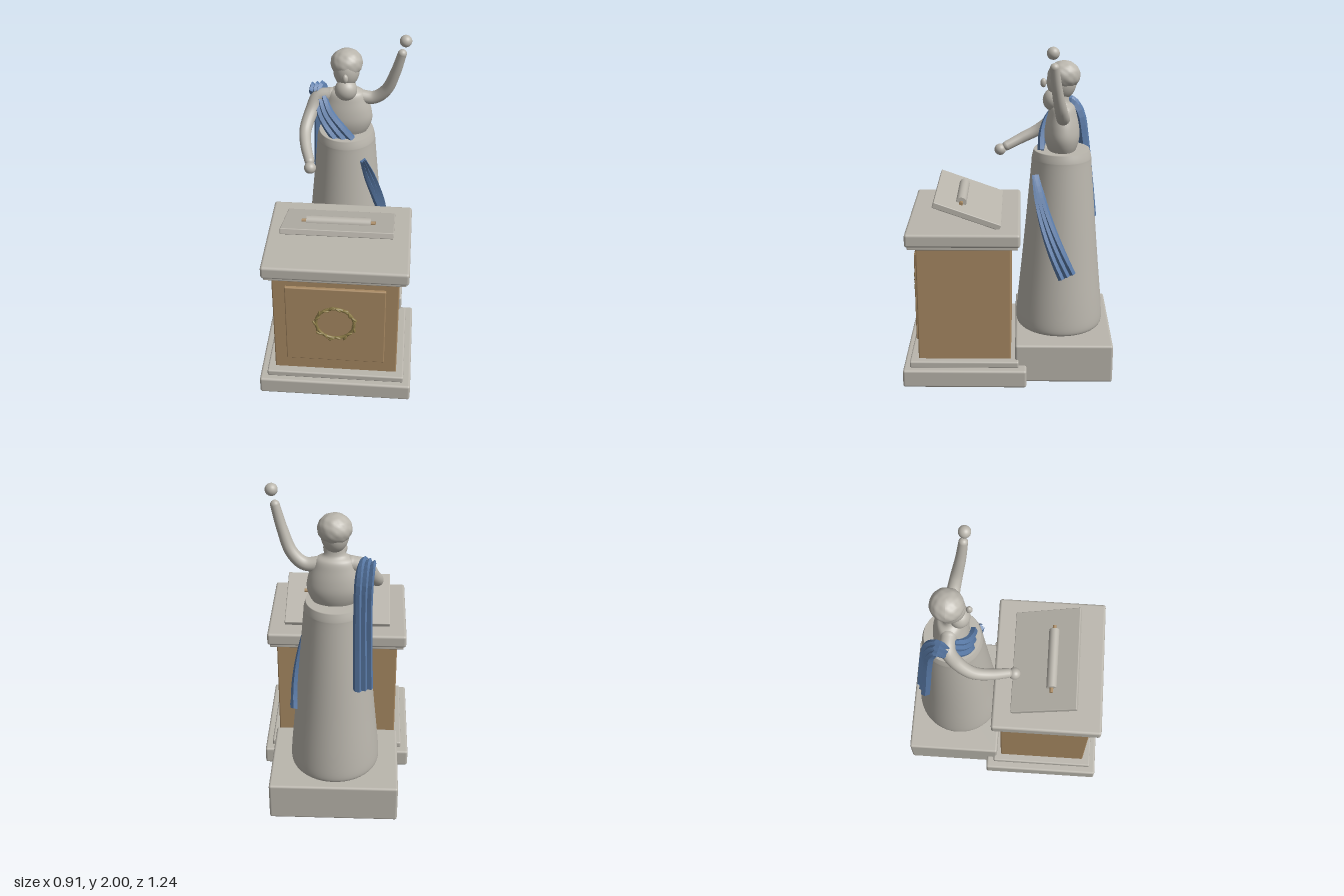
import * as THREE from 'three';
import { RoundedBoxGeometry } from 'three/addons/geometries/RoundedBoxGeometry.js';

const V = (a) => new THREE.Vector3(...a);

export function createModel() {
  const model = new THREE.Group();
  model.name = 'statueAtLectern';
  const material = (name, color, extra = {}) => {
    const m = new THREE.MeshStandardMaterial({ color, ...extra });
    m.name = name;
    return m;
  };
  const stone = material('stone', 0xbab6ad);
  const wood = material('wood', 0xa98a63);
  const bronze = material('bronze', 0x8c7c48);
  const cloth = material('blueCloth', 0x5a7ba8, { flatShading: true, side: THREE.DoubleSide });

  const add = (name, geometry, mat, pos = [0, 0, 0], parent = model) => {
    const mesh = new THREE.Mesh(geometry, mat);
    mesh.name = name;
    mesh.position.set(...pos);
    parent.add(mesh);
    return mesh;
  };
  // Rounded slab given by half width, y range and z range
  const slab = (name, hx, y0, y1, z0, z1, mat, r = 0.01) =>
    add(name, new RoundedBoxGeometry(hx * 2, y1 - y0, z1 - z0, 2, r), mat, [0, (y0 + y1) / 2, (z0 + z1) / 2]);
  const ball = (name, pos, r, mat = stone) => {
    const m = add(name, new THREE.SphereGeometry(1, 28, 20), mat, pos);
    m.scale.set(...r);
    return m;
  };
  // Smooth turned body from a short profile
  const turned = (name, profile, pos, depth = 1) => {
    const curve = new THREE.SplineCurve(profile.map((p) => new THREE.Vector2(...p)));
    const pts = [new THREE.Vector2(0, profile[0][1]), ...curve.getPoints(36), new THREE.Vector2(0, profile.at(-1)[1])];
    const m = add(name, new THREE.LatheGeometry(pts, 48), stone, pos);
    m.scale.z = depth;
    return m;
  };

  // Pedestal
  slab('pedestalBase', 0.456, 0, 0.11, -0.11, 0.62, stone, 0.014);
  slab('pedestalStep', 0.412, 0.105, 0.147, -0.063, 0.582, stone);
  slab('pedestalBody', 0.367, 0.14, 0.865, -0.017, 0.532, wood, 0.008);
  slab('frontPanel', 0.292, 0.235, 0.785, 0.52, 0.55, wood, 0.006);
  slab('corniceMoulding', 0.405, 0.853, 0.885, -0.057, 0.576, stone, 0.006);
  slab('corniceSlab', 0.42, 0.872, 0.952, -0.07, 0.59, stone, 0.016);

  // Wreath with overlapping leaves
  const wreath = new THREE.Group();
  wreath.name = 'wreath';
  wreath.position.set(0, 0.54, 0.56);
  model.add(wreath);
  add('wreathRing', new THREE.TorusGeometry(0.112, 0.009, 10, 48), bronze, [0, 0, 0], wreath);
  const leaf = new THREE.SphereGeometry(1, 10, 8);
  const leafCount = 18;
  for (let i = 0; i < leafCount; i++) {
    const a = (i / leafCount) * Math.PI * 2;
    const r = 0.114 + (i % 2 ? 0.006 : -0.004);
    const m = add('wreathLeaf', leaf, bronze, [Math.cos(a) * r, Math.sin(a) * r, 0.006], wreath);
    m.scale.set(0.022, 0.007, 0.008);
    m.rotation.z = a + Math.PI / 2 + (i % 2 ? 0.5 : -0.5);
  }

  // Tilted reading board and scroll
  const board = add('readingBoard', new RoundedBoxGeometry(0.642, 0.036, 0.41, 2, 0.005), stone, [0, 1.028, 0.238]);
  board.rotation.x = -0.345;
  const rod = (name, r, length, mat) => {
    const m = add(name, new THREE.CylinderGeometry(r, r, length, 24), mat, [0, 1.066, 0.275]);
    m.rotation.z = Math.PI / 2;
  };
  rod('scroll', 0.031, 0.37, stone);
  rod('scrollRod', 0.011, 0.426, wood);

  // Statue plinth, skirt and torso
  slab('statuePlinth', 0.382, 0, 0.24, -0.622, -0.042, stone, 0.014);
  turned('skirt', [[0.25, 0.235], [0.264, 0.265], [0.258, 0.38], [0.232, 0.65], [0.205, 0.95],
    [0.179, 1.25], [0.175, 1.3], [0.163, 1.345]], [0, 0, -0.312]);
  turned('torso', [[0.11, 1.32], [0.142, 1.375], [0.156, 1.43], [0.148, 1.49], [0.128, 1.55],
    [0.105, 1.6], [0.06, 1.63], [0.05, 1.7]], [0, 0, -0.312], 0.66);

  // Head with curled hair, beard and nose
  ball('face', [0, 1.745, -0.305], [0.078, 0.105, 0.087]);
  const hairGeo = new THREE.SphereGeometry(1, 40, 28);
  const hp = hairGeo.attributes.position;
  for (let i = 0; i < hp.count; i++) {
    const v = new THREE.Vector3().fromBufferAttribute(hp, i);
    v.multiplyScalar(1 + 0.03 * Math.sin(v.x * 9) * Math.sin(v.y * 9 + 1) * Math.cos(v.z * 9));
    hp.setXYZ(i, v.x, v.y, v.z);
  }
  hairGeo.computeVertexNormals();
  const hair = add('hair', hairGeo, stone, [0, 1.783, -0.318]);
  hair.scale.set(0.094, 0.083, 0.094);
  ball('beard', [0, 1.637, -0.257], [0.066, 0.066, 0.06]);
  ball('nose', [0, 1.737, -0.2], [0.017, 0.027, 0.018]);

  // Tapered arm along a curve, closed with balls
  const arm = (name, points, r0, r1, hand) => {
    const path = new THREE.CatmullRomCurve3(points.map(V));
    const n = 32, sides = 20;
    const geo = new THREE.TubeGeometry(path, n, 1, sides);
    const pos = geo.attributes.position;
    for (let i = 0; i <= n; i++) {
      const c = path.getPointAt(i / n);
      for (let j = 0; j <= sides; j++) {
        const k = i * (sides + 1) + j;
        const v = new THREE.Vector3().fromBufferAttribute(pos, k).sub(c).multiplyScalar(r0 + (r1 - r0) * i / n).add(c);
        pos.setXYZ(k, v.x, v.y, v.z);
      }
    }
    add(name, geo, stone);
    ball(name + 'Shoulder', points[0], [r0, r0, r0]);
    ball(name + 'Wrist', points.at(-1), [r1, r1, r1]);
    ball(name + 'Hand', hand, [0.035, 0.035, 0.035]);
  };
  arm('leftArm', [[0.07, 1.57, -0.312], [0.165, 1.565, -0.31], [0.235, 1.625, -0.295],
    [0.285, 1.75, -0.27], [0.322, 1.885, -0.252]], 0.042, 0.026, [0.34, 1.968, -0.243]);
  arm('rightArm', [[-0.09, 1.57, -0.312], [-0.165, 1.555, -0.312], [-0.205, 1.48, -0.27],
    [-0.234, 1.4, -0.18], [-0.222, 1.35, -0.08], [-0.192, 1.306, 0.015]], 0.046, 0.029, [-0.185, 1.285, 0.055]);

  // Pleated cloth: closed fluted section swept along a path
  // Rows are position, outward direction and width
  const pleated = (name, rows, thick, folds) => {
    const path = new THREE.CatmullRomCurve3(rows.map((r) => V(r[0])));
    const out = new THREE.CatmullRomCurve3(rows.map((r) => V(r[1])));
    const wide = new THREE.CatmullRomCurve3(rows.map((r, i) => V([i, r[2], 0])));
    const n = 18, count = folds * 2 + 3, pos = [], idx = [];
    for (let i = 0; i <= n; i++) {
      const t = i / n, p = path.getPoint(t), tan = path.getTangent(t);
      const nor = out.getPoint(t).addScaledVector(tan, -out.getPoint(t).dot(tan)).normalize();
      const side = new THREE.Vector3().crossVectors(tan, nor);
      const w = wide.getPoint(t).y;
      const put = (u, h) => pos.push(...p.clone().addScaledVector(side, u * w).addScaledVector(nor, h * thick).toArray());
      for (let k = 0; k <= folds * 2; k++) put(k / (folds * 2) - 0.5, k % 2 ? 0.6 : 0.2);
      put(0.5, -0.5);
      put(-0.5, -0.5);
      for (let k = 0; k < count && i < n; k++) {
        const a = i * count + k, b = i * count + (k + 1) % count;
        idx.push(a, b, b + count, a, b + count, a + count);
      }
    }
    // End caps
    for (let k = 0; k < folds * 2; k++) {
      const e = n * count;
      idx.push(count - 1, k + 1, k, e + count - 1, e + k, e + k + 1);
    }
    idx.push(count - 1, count - 2, count - 3, n * count + count - 1, n * count + count - 3, n * count + count - 2);
    const geo = new THREE.BufferGeometry();
    geo.setAttribute('position', new THREE.Float32BufferAttribute(pos, 3));
    geo.setIndex(idx);
    geo.computeVertexNormals();
    add(name, geo, cloth);
  };
  pleated('chestSash', [
    [[0.01, 1.315, -0.19], [0, 0, 1], 0.12],
    [[-0.06, 1.4, -0.2], [-0.2, 0.1, 1], 0.12],
    [[-0.12, 1.48, -0.235], [-0.5, 0.2, 1], 0.11],
    [[-0.155, 1.56, -0.29], [-0.6, 0.6, 0.6], 0.09]], 0.035, 3);
  pleated('backSash', [
    [[-0.19, 1.575, -0.315], [-0.3, 0.8, 0.5], 0.07],
    [[-0.178, 1.6, -0.365], [-0.2, 1, -0.3], 0.09],
    [[-0.165, 1.53, -0.415], [-0.35, 0.3, -1], 0.1],
    [[-0.16, 1.36, -0.445], [-0.4, 0, -1], 0.1],
    [[-0.163, 1.1, -0.475], [-0.45, 0, -1], 0.105],
    [[-0.168, 0.87, -0.5], [-0.45, 0, -1], 0.11]], 0.045, 3);

  // Hip drape winding around the skirt
  const hip = [];
  for (let i = 0; i <= 5; i++) {
    const t = i / 5, a = THREE.MathUtils.degToRad(36 + 62 * t), y = 1.215 - 0.59 * t;
    const r = 0.186 + 0.058 * t;
    hip.push([[Math.sin(a) * r, y, -0.312 + Math.cos(a) * r], [Math.sin(a), 0, Math.cos(a)], 0.035 + 0.075 * Math.sqrt(t)]);
  }
  pleated('hipDrape', hip, 0.038, 3);

  return model;
}
